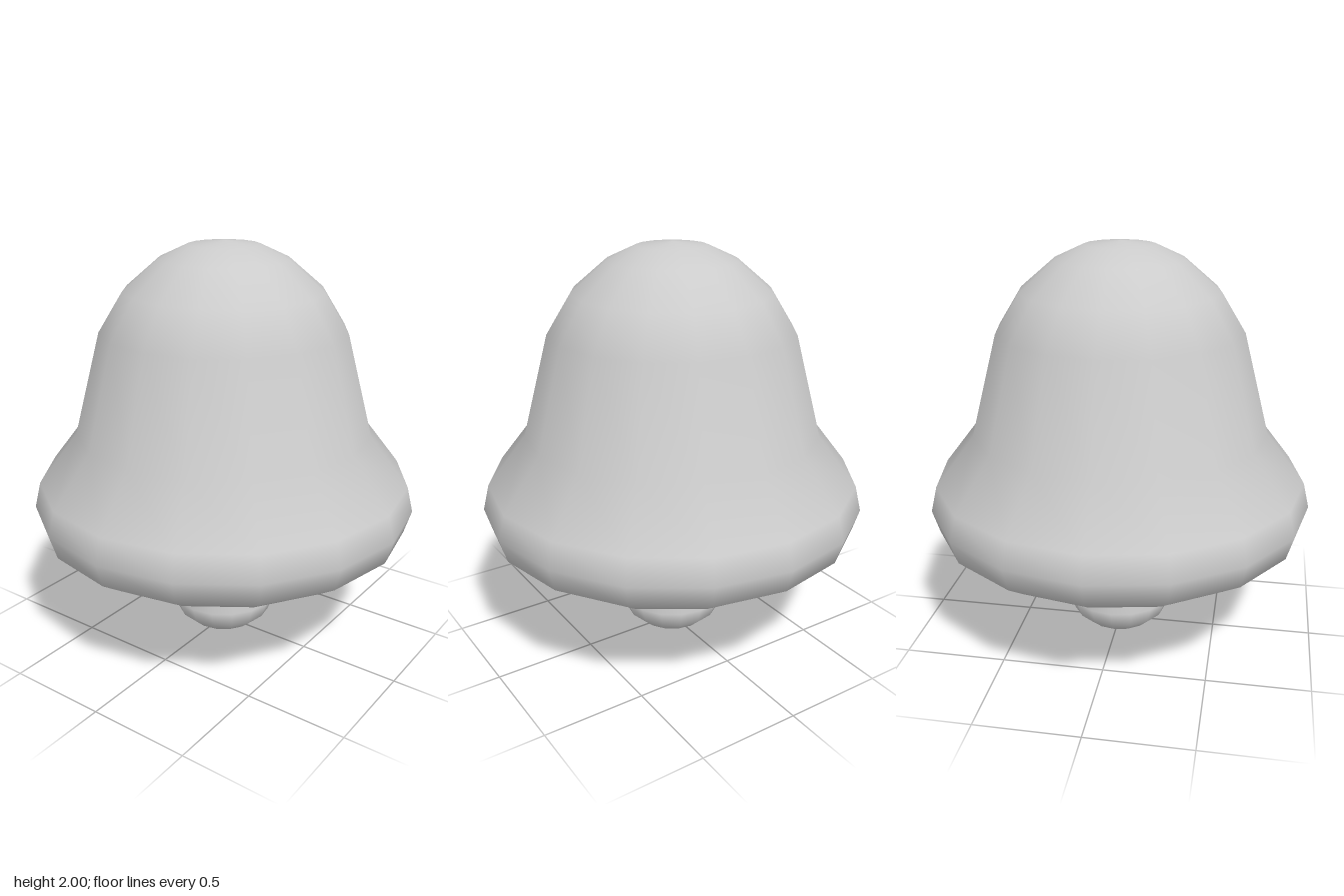
import * as THREE from 'three';

const SIDES = 16;

// Radius and height, from the foot of the stem up to the crown
const stemProfile = [
  [0, 0], [0.13, 0.01], [0.18, 0.03], [0.24, 0.085], [0.27, 0.17], [0.2, 0.435], [0.2, 0.55],
];
const capProfile = [
  [0.26, 0.555], [0.67, 0.5], [0.8, 0.53], [0.91, 0.605], [0.945, 0.72], [0.915, 0.845],
  [0.725, 1.09], [0.595, 1.585], [0.48, 1.77], [0.31, 1.915], [0.17, 1.98], [0, 2],
];

export function createModel() {
  const group = new THREE.Group();
  group.name = 'mushroom';
  const material = new THREE.MeshStandardMaterial({ color: 0xcccccc });

  // One turned surface, so that the shading flows smoothly from stem to cap
  const profile = [...stemProfile, ...capProfile].map(([r, y]) => new THREE.Vector2(r, y));
  const turned = new THREE.LatheGeometry(profile, SIDES);
  const bands = profile.length - 1;

  // A part keeps only its own bands of the turned surface
  const addPart = (name, first, last) => {
    const index = [];
    for (let side = 0; side < SIDES; side++) {
      for (let band = first; band < last; band++) {
        const start = (side * bands + band) * 6;
        for (let k = 0; k < 6; k++) index.push(turned.index.getX(start + k));
      }
    }
    const geometry = turned.clone();
    geometry.setIndex(index);
    const mesh = new THREE.Mesh(geometry, material);
    mesh.name = name;
    group.add(mesh);
  };

  addPart('stem', 0, stemProfile.length - 1);
  addPart('cap', stemProfile.length - 1, bands);
  return group;
}
